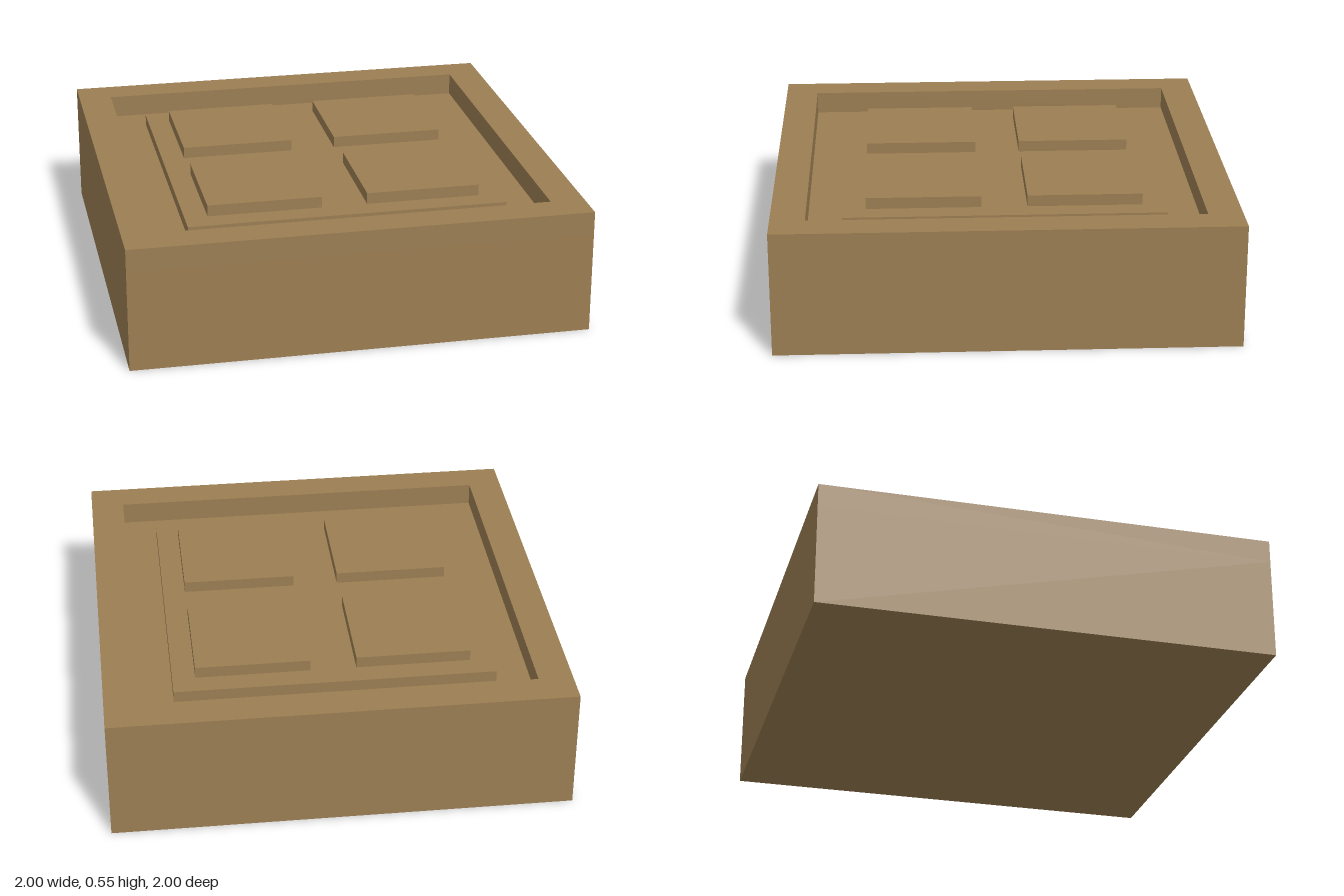
import * as THREE from 'three';

export function createModel() {
  const model = new THREE.Group();
  model.name = 'panelBlock';
  const tan = new THREE.MeshStandardMaterial({ color: 0x9c7e53 });
  tan.name = 'tan';

  // Square slab resting at height y
  const slab = (name, size, height, x, y, z) => {
    const mesh = new THREE.Mesh(new THREE.BoxGeometry(size, height, size), tan);
    mesh.name = name;
    mesh.position.set(x, y + height / 2, z);
    model.add(mesh);
  };

  // Solid base, its top is the recess floor
  slab('base', 2, 0.45, 0, 0, 0);

  // Raised rim around the recess
  const square = (path, h) =>
    path.moveTo(-h, -h).lineTo(h, -h).lineTo(h, h).lineTo(-h, h).closePath();
  const outline = square(new THREE.Shape(), 1);
  outline.holes.push(square(new THREE.Path(), 0.85));
  const rimGeometry = new THREE.ExtrudeGeometry(outline, { depth: 0.1, bevelEnabled: false });
  rimGeometry.rotateX(-Math.PI / 2);
  const rim = new THREE.Mesh(rimGeometry, tan);
  rim.name = 'rim';
  rim.position.y = 0.45;
  model.add(rim);

  // Low plinth inside the recess
  slab('plinth', 1.4, 0.05, 0, 0.45, 0);

  // Four raised tiles, level with the rim
  for (const x of [-0.35, 0.35]) {
    for (const z of [-0.35, 0.35]) slab('tile', 0.5, 0.05, x, 0.5, z);
  }

  return model;
}
